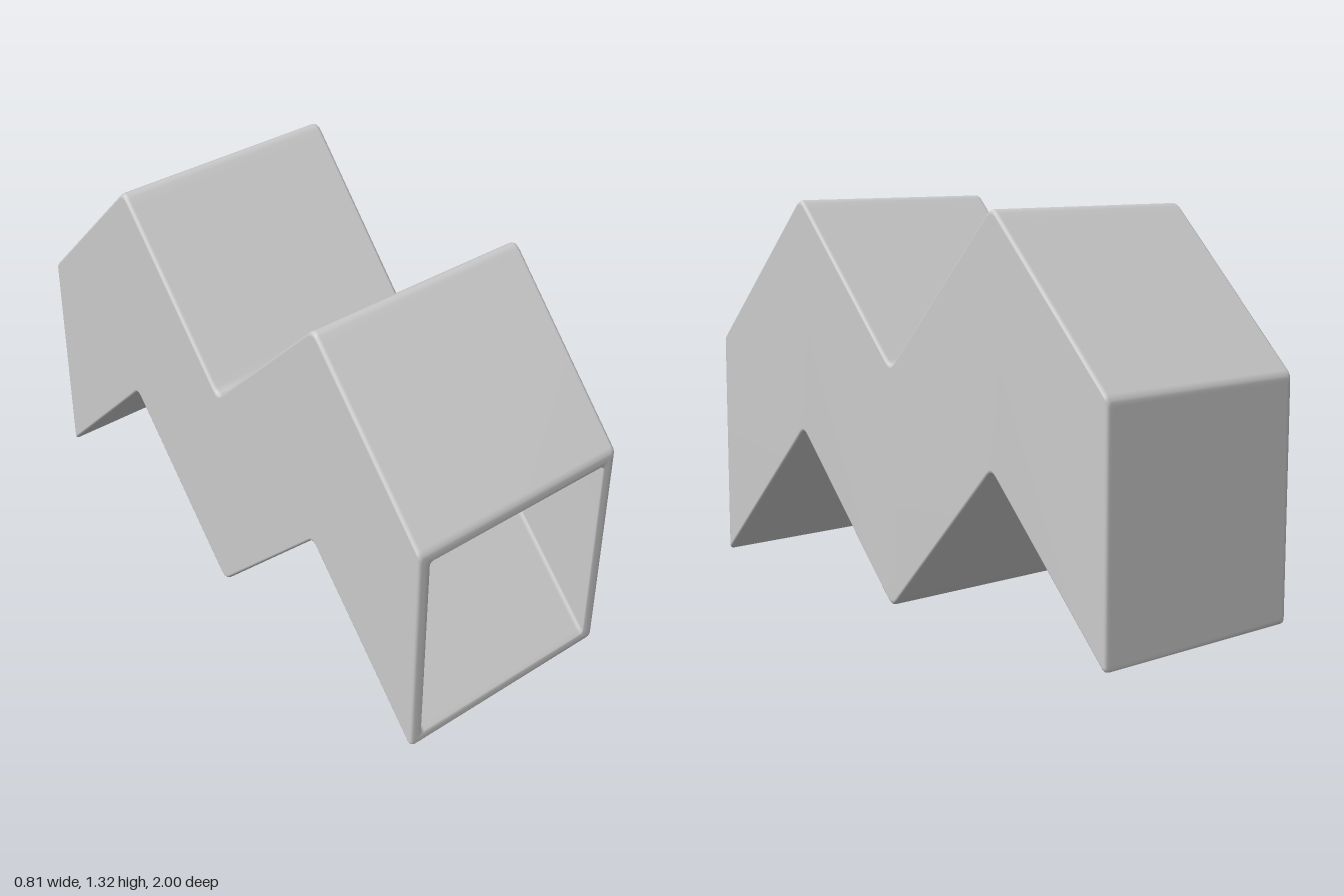
import * as THREE from 'three';

const SLOPE = 1.05, HALF_W = 0.403, HEIGHT = 0.805, CORNER = 0.015;
const FOLD = 0.02;  // half length of the softened folds
const BEVEL = 0.012; // rounding of the end edges

// Height of the underside along z: a zigzag with softened folds
function base(z) {
  const a = Math.abs(z);
  const soft = t => (Math.abs(t) < FOLD ? (t * t / FOLD + FOLD) / 2 : Math.abs(t));
  if (a < 0.25) return SLOPE * (soft(a) - FOLD / 2);
  return SLOPE * (0.5 - soft(a - 0.5));
}

// Rounded rectangle cross-section, counter-clockwise seen from the front
function ring(z, y, halfW, h, r) {
  const pts = [], steps = 4;
  [[1, 1], [-1, 1], [-1, -1], [1, -1]].forEach(([sx, sy], q) => {
    const cx = sx * (halfW - r), cy = y + h / 2 + sy * (h / 2 - r);
    for (let k = 0; k <= steps; k++) {
      const a = (q + k / steps) * Math.PI / 2;
      pts.push([cx + r * Math.cos(a), cy + r * Math.sin(a), z]);
    }
  });
  return pts;
}

const outer = (z, inset = 0) =>
  ring(z, base(z) + inset, HALF_W - inset, HEIGHT - 2 * inset, CORNER);

// Skin through consecutive rings, closed at both ends
function loft(rings) {
  const n = rings[0].length, pos = rings.flat(2), idx = [];
  for (let i = 0; i < rings.length - 1; i++) {
    for (let j = 0; j < n; j++) {
      const a = i * n + j, b = i * n + (j + 1) % n;
      idx.push(a, b, b + n, a, b + n, a + n);
    }
  }
  const cap = (r, flip) => {
    const c = pos.length / 3, start = r * n;
    const mid = [0, 1, 2].map(k => rings[r].reduce((s, p) => s + p[k], 0) / n);
    pos.push(...mid);
    for (let j = 0; j < n; j++) {
      const a = start + j, b = start + (j + 1) % n;
      idx.push(c, flip ? b : a, flip ? a : b);
    }
  };
  cap(0, true);
  cap(rings.length - 1, false);
  const g = new THREE.BufferGeometry();
  g.setAttribute('position', new THREE.Float32BufferAttribute(pos, 3));
  g.setIndex(idx);
  g.computeVertexNormals();
  return g;
}

export function createModel() {
  const group = new THREE.Group();
  const rings = [];

  // Rounded back end
  rings.push(outer(-1, BEVEL * 2));
  for (let k = 0; k <= 3; k++) {
    const a = k / 3 * Math.PI / 2;
    rings.push(outer(-1 + BEVEL * (1 - Math.sin(a)) * (k < 3 ? 0 : 1) + BEVEL * (1 - Math.cos(a)) * (k < 3 ? 1 : 0),
      BEVEL * (1 - Math.sin(a))));
  }
  rings.pop();
  rings.push(outer(-1 + BEVEL));

  // Zigzag body with extra sections at each fold
  for (const f of [-0.5, 0, 0.5]) {
    for (const t of [-2, -1, -0.5, 0, 0.5, 1, 2]) rings.push(outer(f + t * FOLD));
  }

  // Rounded front end and flat rim
  for (let k = 0; k <= 3; k++) {
    const a = k / 3 * Math.PI / 2;
    rings.push(outer(1 - BEVEL * (1 - Math.sin(a)), BEVEL * (1 - Math.cos(a))));
  }
  rings.push(outer(1, BEVEL * 2));

  // Slanted blind pocket: lip, sloping walls, rounded corner, end wall
  const pocket = [
    [1, 0.037, 0.362, 0.729, 0.015],
    [0.997, 0.042, 0.358, 0.721, 0.015],
    [0.985, 0.056, 0.356, 0.719, 0.015],
    [0.62, 0.443, 0.338, 0.705, 0.015],
    [0.597, 0.468, 0.335, 0.693, 0.015],
    [0.585, 0.487, 0.328, 0.67, 0.015],
    [0.58, 0.51, 0.312, 0.63, 0.015],
  ];
  for (const p of pocket) rings.push(ring(...p));

  const body = new THREE.Mesh(loft(rings),
    new THREE.MeshStandardMaterial({ color: 0xcccccc }));
  body.name = 'zigzagDuct';
  group.add(body);
  return group;
}
